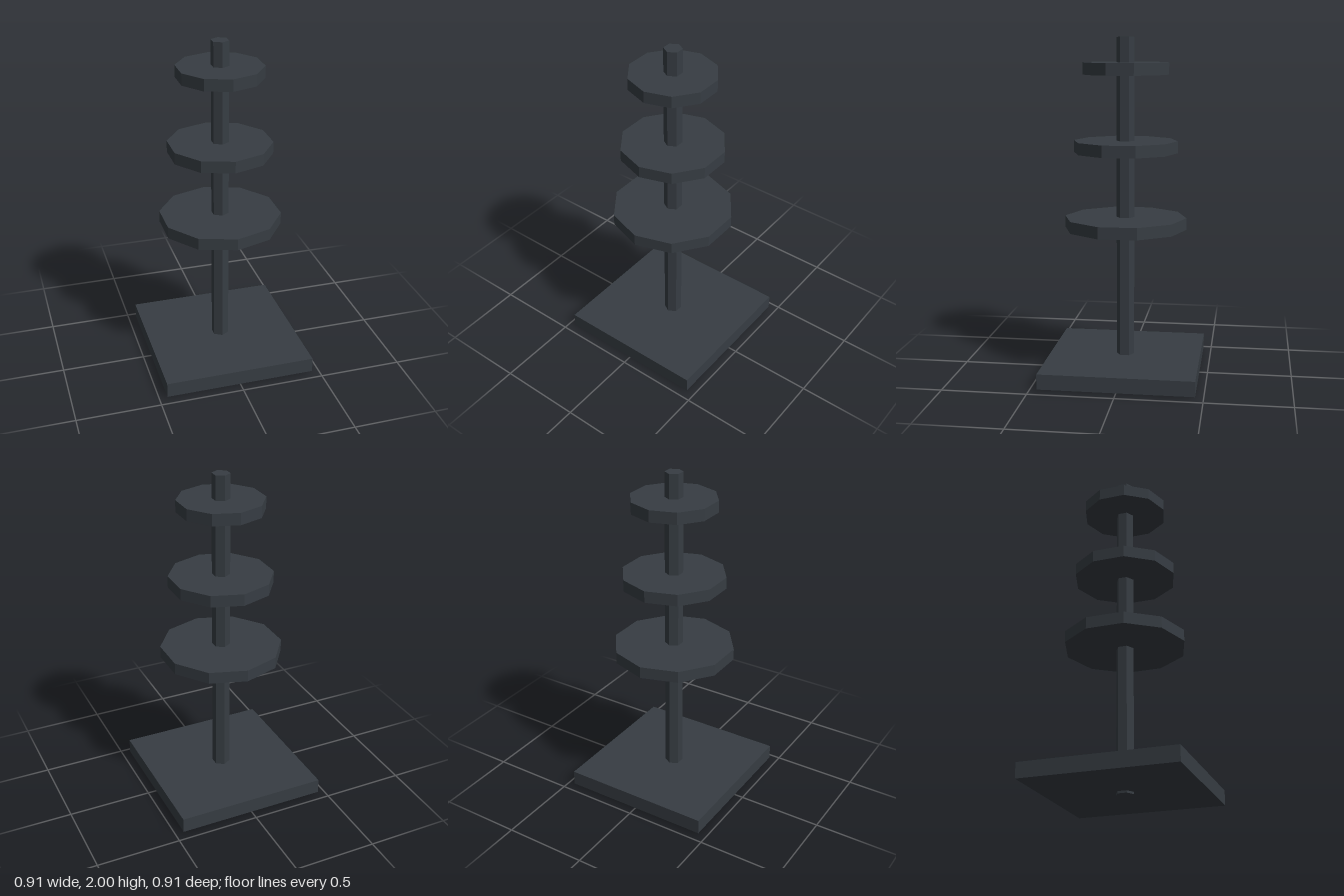
import * as THREE from 'three';

export function createModel() {
  const group = new THREE.Group();
  const darkMetal = new THREE.MeshStandardMaterial({ color: 0x373d43, flatShading: true });
  darkMetal.name = 'darkMetal';

  const add = (name, geometry, y) => {
    const mesh = new THREE.Mesh(geometry, darkMetal);
    mesh.name = name;
    mesh.position.y = y;
    group.add(mesh);
  };

  // Square foot plate, just above the tip of the pole
  add('base', new THREE.BoxGeometry(0.906, 0.09, 0.906), 0.058);

  // Six-sided pole running the full height
  add('pole', new THREE.CylinderGeometry(0.053, 0.053, 2, 6), 1);

  // Ten-sided discs, shrinking upward
  const discs = [
    ['lowerDisc', 0.363, 0.911],
    ['middleDisc', 0.308, 1.365],
    ['upperDisc', 0.254, 1.82],
  ];
  for (const [name, radius, y] of discs) {
    add(name, new THREE.CylinderGeometry(radius, radius, 0.07, 10), y);
  }

  return group;
}
